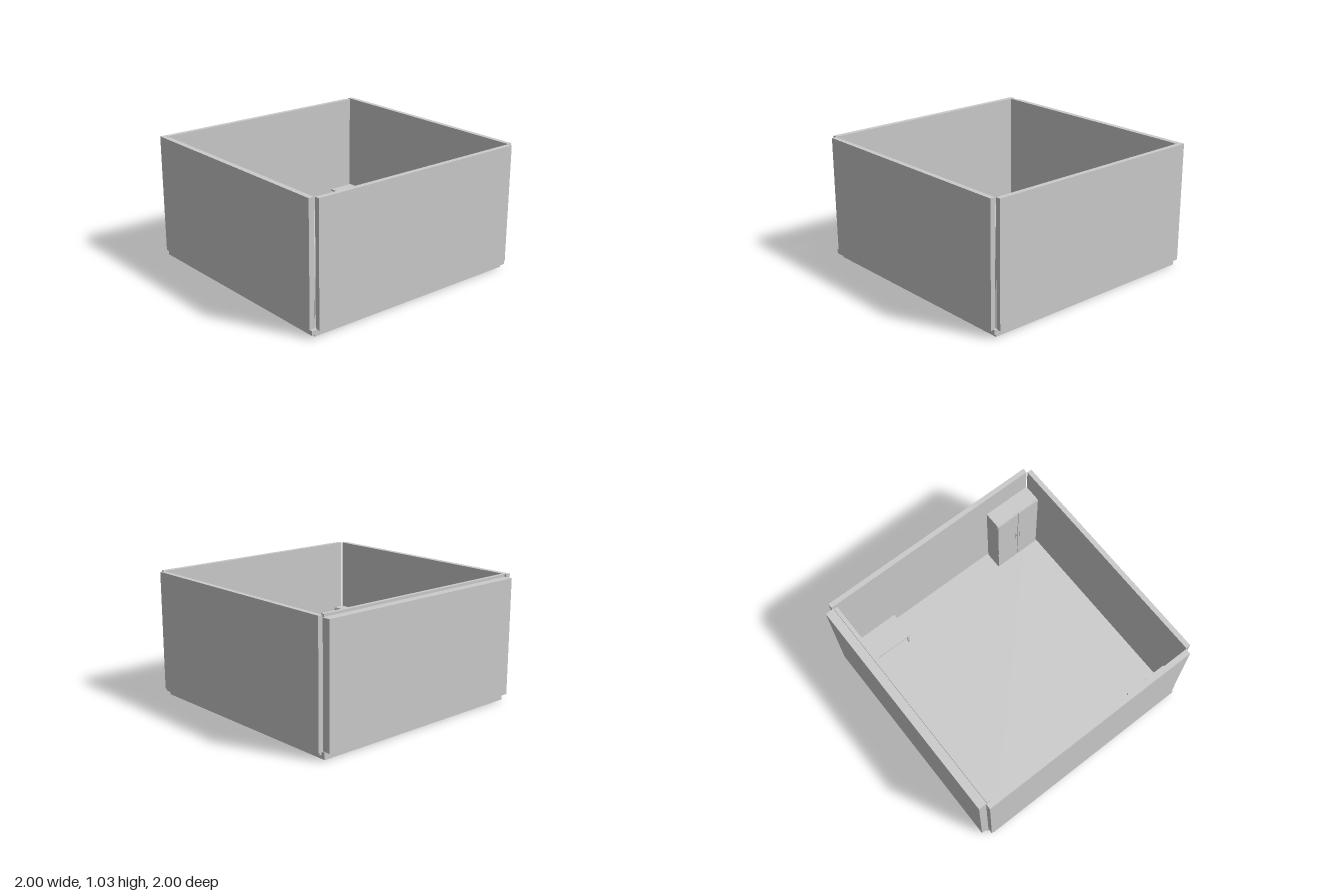
import * as THREE from 'three';

const grey = new THREE.MeshStandardMaterial({ color: 0xcccccc, flatShading: true });

// Box given by its extents along each axis
function block(parent, name, [x0, x1], [y0, y1], [z0, z1]) {
  const mesh = new THREE.Mesh(new THREE.BoxGeometry(x1 - x0, y1 - y0, z1 - z0), grey);
  mesh.position.set((x0 + x1) / 2, (y0 + y1) / 2, (z0 + z1) / 2);
  mesh.name = name;
  parent.add(mesh);
  return mesh;
}

function section(parent, name) {
  const group = new THREE.Group();
  group.name = name;
  parent.add(group);
  return group;
}

const FLOOR = 0.065;

export function createModel() {
  const room = new THREE.Group();
  room.name = 'room';

  // Floor: two slabs, the upper one shifted a little
  const floor = section(room, 'floor');
  block(floor, 'lowerSlab', [-0.95, 0.955], [0, 0.055], [-0.955, 0.955]);
  block(floor, 'upperSlab', [-0.915, 0.98], [0.028, FLOOR], [-0.97, 0.998]);

  // Walls
  const walls = section(room, 'walls');
  block(walls, 'frontWall', [-0.94, 0.955], [0.06, 1.03], [0.955, 1]);
  block(walls, 'backWall', [-0.94, 0.955], [0.06, 1.03], [-1, -0.96]);
  block(walls, 'rightSideWall', [0.96, 1], [0.06, 1.03], [-0.955, 0.95]);
  block(walls, 'leftSideWall', [-1, -0.93], [0.06, 1.01], [-0.955, 0.95]);
  block(walls, 'leftSideLining', [-0.93, -0.9], [0.06, 1.03], [-0.94, 0.95]);

  // Table in the back corner
  const table = section(room, 'table');
  block(table, 'tableTop', [-0.88, -0.47], [0.215, 0.228], [-0.935, -0.705]);
  for (const x of [-0.86, -0.49])
    for (const z of [-0.915, -0.725])
      block(table, 'tableLeg', [x - 0.007, x + 0.007], [FLOOR, 0.215], [z - 0.007, z + 0.007]);

  // Tall cabinet with two doors and a pair of handles
  const cabinet = section(room, 'cabinet');
  block(cabinet, 'cabinetBody', [0.54, 0.95], [FLOOR, 0.815], [-0.95, -0.806]);
  for (const side of [-1, 1]) {
    const middle = 0.745 + side * 0.1035;
    block(cabinet, 'cabinetDoor', [middle - 0.101, middle + 0.101], [FLOOR + 0.01, 0.81], [-0.806, -0.798]);
    const handle = 0.745 + side * 0.018;
    block(cabinet, 'cabinetHandle', [handle - 0.005, handle + 0.005], [0.4, 0.49], [-0.798, -0.79]);
  }

  // Chest with two columns of drawers facing the back
  const chest = section(room, 'chest');
  block(chest, 'chestBody', [0.56, 0.94], [FLOOR, 0.44], [0.848, 0.942]);
  const rows = 5, pitch = (0.43 - FLOOR) / rows;
  for (const x of [0.655, 0.845])
    for (let i = 0; i < rows; i++) {
      const y = FLOOR + 0.005 + i * pitch;
      block(chest, 'drawerFront', [x - 0.091, x + 0.091], [y + 0.003, y + pitch - 0.003], [0.842, 0.848]);
      block(chest, 'drawerHandle', [x - 0.03, x + 0.03], [y + pitch / 2 - 0.003, y + pitch / 2 + 0.003], [0.836, 0.842]);
    }

  return room;
}
